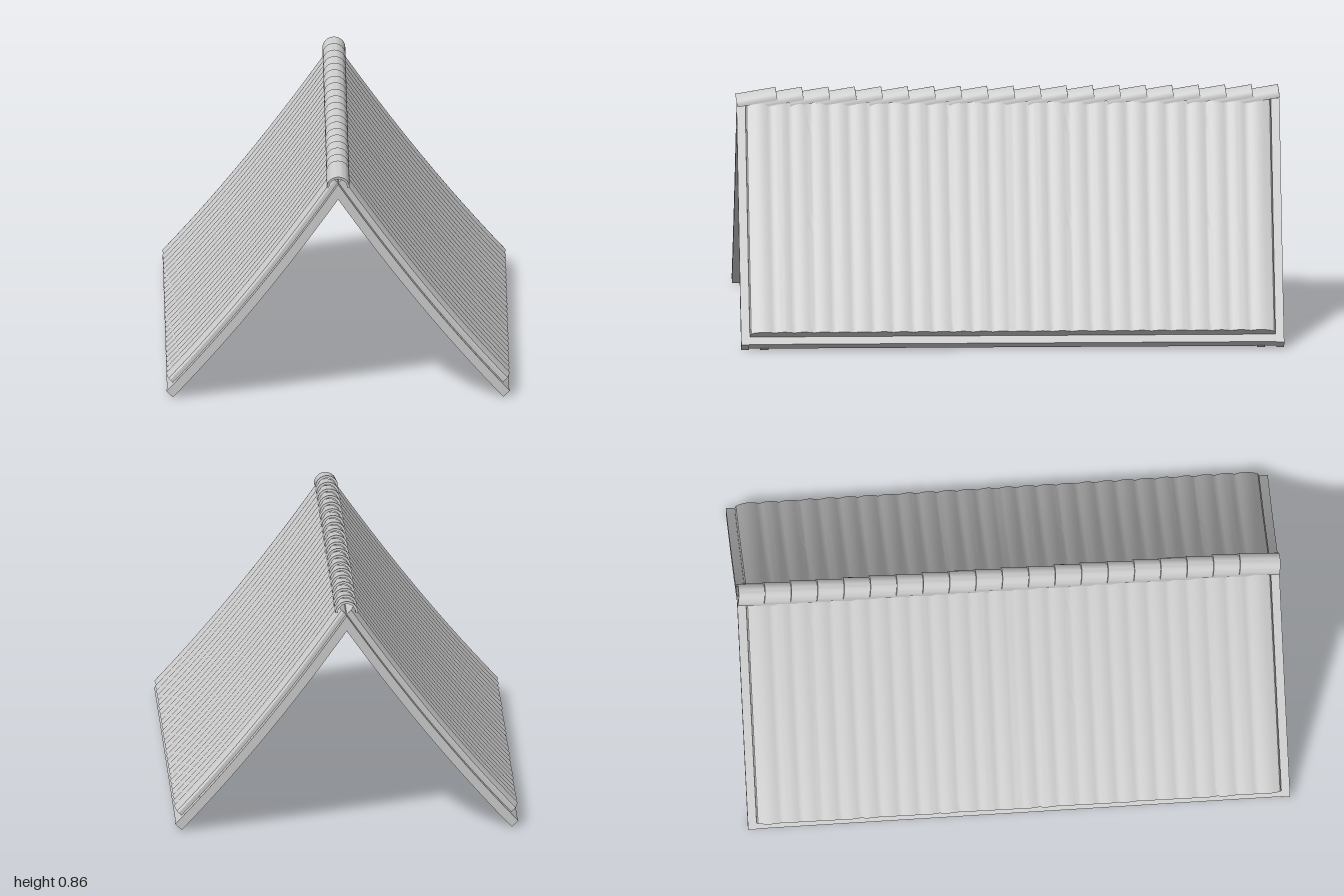
import * as THREE from 'three';
import { toCreasedNormals } from 'three/addons/utils/BufferGeometryUtils.js';

const material = new THREE.MeshStandardMaterial({ color: 0xcccccc, side: THREE.DoubleSide });

// Concave slope line: height and outward normal at distance x from the ridge
const slopeY = (x) => 0.81 - 1.432 * x + 0.3 * x * x;
function slopeNormal(x) {
  return new THREE.Vector2(1.432 - 0.6 * x, 1).normalize();
}

// Sweep a section (along the ridge, height above slope) down one slope
function sweep(name, shape, xEnd, side, crease = 0.6) {
  const geo = new THREE.ExtrudeGeometry(shape, { depth: xEnd, steps: 20, bevelEnabled: false });
  const p = geo.attributes.position;
  for (let i = 0; i < p.count; i++) {
    const a = p.getX(i), h = p.getY(i), x = p.getZ(i);
    const n = slopeNormal(x);
    // mitre the underside where both slopes meet
    if (x < 1e-5 && h < 0) n.set(0, 1 / n.y);
    p.setXYZ(i, side * (x + n.x * h), slopeY(x) + n.y * h, -side * a);
  }
  geo.computeVertexNormals();
  const mesh = new THREE.Mesh(toCreasedNormals(geo, crease), material);
  mesh.name = name;
  return mesh;
}

function strip(a0, a1, h0, h1) {
  return new THREE.Shape([
    new THREE.Vector2(a0, h0), new THREE.Vector2(a1, h0),
    new THREE.Vector2(a1, h1), new THREE.Vector2(a0, h1),
  ]);
}

// Section of the tile layer: a row of shallow round ribs with rolled ends
function tileSection() {
  const half = 0.968, inner = 0.95, waves = 26, perWave = 8;
  const pts = [new THREE.Vector2(-half, -0.002), new THREE.Vector2(half, -0.002)];
  pts.push(new THREE.Vector2(half, 0.014), new THREE.Vector2(half - 0.005, 0.022));
  const n = waves * perWave;
  for (let i = 0; i <= n; i++) {
    const bump = Math.abs(Math.sin((i / perWave) * Math.PI));
    pts.push(new THREE.Vector2(inner - (2 * inner * i) / n, 0.027 + 0.006 * bump));
  }
  pts.push(new THREE.Vector2(-half + 0.005, 0.022), new THREE.Vector2(-half, 0.014));
  return new THREE.Shape(pts);
}

export function createModel() {
  const model = new THREE.Group();
  model.name = 'gableRoof';

  for (const side of [1, -1]) {
    const slope = new THREE.Group();
    slope.name = side > 0 ? 'leftSlope' : 'rightSlope';
    slope.add(sweep('deck', strip(-0.975, 0.975, -0.029, 0), 0.63, side));
    slope.add(sweep('tiles', tileSection(), 0.608, side, 0.5));
    for (const end of [1, -1]) {
      // gable edge board and the batten just inside it
      const edge = [0.972 * end, end].sort((a, b) => a - b);
      const batten = [0.9 * end, 0.93 * end].sort((a, b) => a - b);
      slope.add(sweep('gableBoard', strip(edge[0], edge[1], -0.033, 0), 0.632, side));
      slope.add(sweep('batten', strip(batten[0], batten[1], -0.033, -0.02), 0.632, side));
    }
    model.add(slope);
  }

  // Overlapping half-round ridge caps, each tilted up towards the back
  const arch = new THREE.Shape();
  arch.absarc(0, 0, 0.042, 0, Math.PI, false);
  arch.absarc(0, 0, 0.033, Math.PI, 0, true);
  const capGeo = toCreasedNormals(
    new THREE.ExtrudeGeometry(arch, { depth: 0.15, bevelEnabled: false, curveSegments: 12 }), 0.6);
  const ridge = new THREE.Group();
  ridge.name = 'ridgeCaps';
  for (let i = 0; i < 20; i++) {
    const cap = new THREE.Mesh(capGeo, material);
    cap.name = 'ridgeCap';
    cap.position.set(0, 0.822, 0.85 - 0.0974 * i);
    cap.rotation.x = 0.165;
    ridge.add(cap);
  }
  model.add(ridge);
  return model;
}
